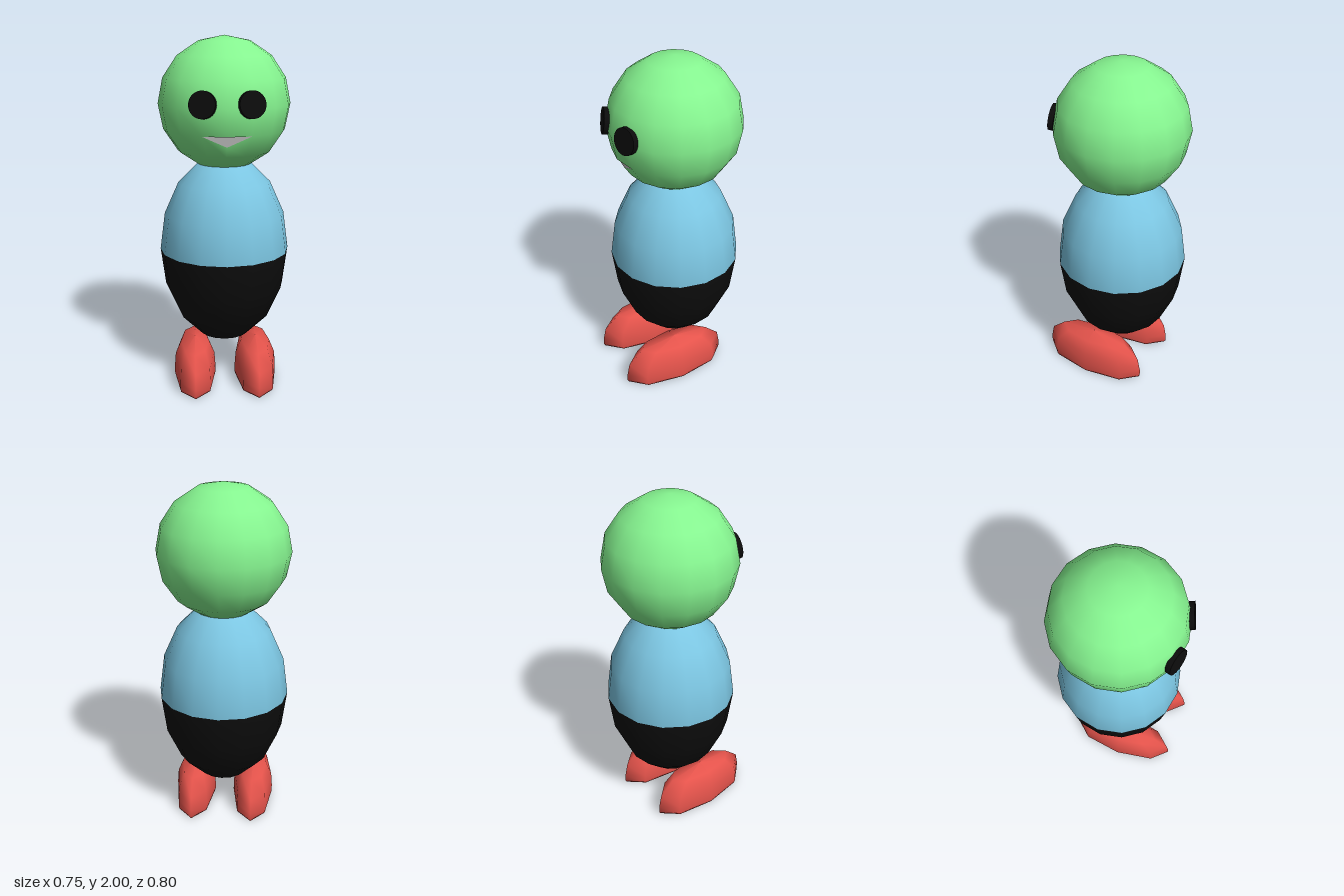
import * as THREE from 'three';

const material = (color) => new THREE.MeshStandardMaterial({ color, side: THREE.DoubleSide });

export function createModel() {
  const group = new THREE.Group();
  const green = material(0x86f590);
  const blue = material(0x7cc6e2);
  const black = material(0x0c0c0c);
  const red = material(0xe4534b);
  const white = material(0xffffff);

  const add = (name, geometry, mat, x = 0, y = 0, z = 0) => {
    const mesh = new THREE.Mesh(geometry, mat);
    mesh.name = name;
    mesh.position.set(x, y, z);
    group.add(mesh);
    return mesh;
  };

  const R = 0.377, centreZ = -0.022, headY = 1.623;

  // Body: one tall ellipsoid split at its waist into shirt and trousers
  const half = (start) => new THREE.SphereGeometry(R, 16, 4, 0, Math.PI * 2, start, Math.PI / 2)
    .scale(1, 0.565 / R, 1);
  add('shirt', half(0), blue, 0, 0.77, centreZ);
  add('trousers', half(Math.PI / 2), black, 0, 0.77, centreZ);

  // Head: a sphere whose lower lip is pulled down from one ring to open the mouth
  const ring = (theta, phi) => new THREE.Vector3(
    R * Math.sin(theta) * Math.sin(phi), R * Math.cos(theta), R * Math.sin(theta) * Math.cos(phi));
  const step = Math.PI / 8;
  const upperLip = ring(5 * step, 0);
  const cornerL = ring(5 * step, step);
  const cornerR = ring(5 * step, -step);
  const lowerLip = upperLip.clone().lerp(ring(6 * step, 0), 0.5);

  const head = new THREE.SphereGeometry(R, 16, 8).toNonIndexed();
  const pos = head.attributes.position;
  const v = new THREE.Vector3();
  for (let t = 0; t < pos.count; t += 3) {
    const meanY = (pos.getY(t) + pos.getY(t + 1) + pos.getY(t + 2)) / 3;
    if (meanY > upperLip.y - 0.01) continue;
    for (let i = t; i < t + 3; i++) {
      v.fromBufferAttribute(pos, i);
      if (v.distanceTo(upperLip) < 0.001) pos.setXYZ(i, lowerLip.x, lowerLip.y, lowerLip.z);
    }
  }
  add('head', head, green, 0, headY, centreZ);

  // Mouth: pale triangle inside the opening, and the underside of the upper lip
  const triangle = (a, b, c) => {
    const g = new THREE.BufferGeometry().setFromPoints([a, b, c]);
    g.computeVertexNormals();
    return g;
  };
  add('mouth', triangle(cornerR, lowerLip, cornerL), white, 0, headY, centreZ);
  add('upperLip', triangle(cornerR, cornerL, upperLip), green, 0, headY, centreZ);

  // Foot: eight-sided lathe, flat below and domed above, stretched lengthwise
  const footProfile = [[0, 0], [0.97, 0], [1, 0.015], [1, 0.06], [0.95, 0.14], [0.68, 0.22], [0, 0.25]]
    .map(([r, y]) => new THREE.Vector2(r, y));

  for (const [side, s] of [['left', 1], ['right', -1]]) {
    const foot = new THREE.LatheGeometry(footProfile, 8).scale(0.122, 1, 0.327);
    add(side + 'Foot', foot, red, s * 0.18, 0, 0.073);

    // Eye: thin disc turned to follow the curve of the head
    const eye = new THREE.CylinderGeometry(0.074, 0.074, 0.03, 32).rotateX(Math.PI / 2);
    const mesh = add(side + 'Eye', eye, black, s * 0.13, 1.65, 0.328);
    mesh.rotation.set(-0.14, s * 0.3, 0, 'YXZ');
  }
  return group;
}
